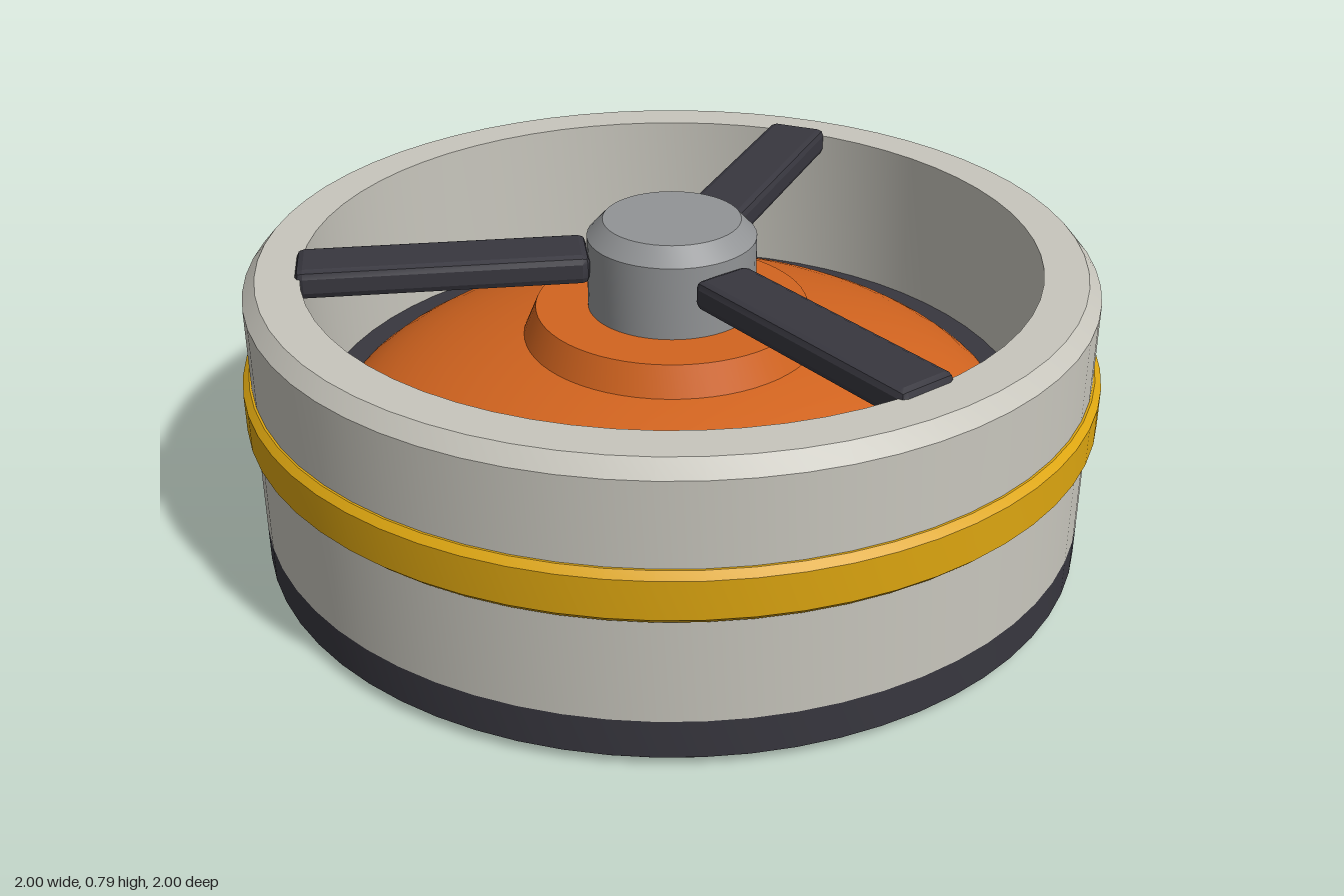
import * as THREE from 'three';
import { toCreasedNormals } from 'three/addons/utils/BufferGeometryUtils.js';
import { RoundedBoxGeometry } from 'three/addons/geometries/RoundedBoxGeometry.js';

const material = (name, color) => {
  const m = new THREE.MeshStandardMaterial({ color });
  m.name = name;
  return m;
};

export function createModel() {
  const group = new THREE.Group();
  const shell = material('warm grey', 0xc8c6bd);
  const dark = material('charcoal', 0x38373f);
  const gold = material('gold', 0xdca510);
  const orange = material('orange', 0xd2641f);
  const metal = material('steel grey', 0x929496);

  const add = (name, geometry, mat) => {
    const mesh = new THREE.Mesh(geometry, mat);
    mesh.name = name;
    group.add(mesh);
    return mesh;
  };
  // Round part turned from [radius, height] points, with crisp profile corners
  const turned = (name, profile, mat, segments = 64) => {
    const points = profile.map(([r, y]) => new THREE.Vector2(r, y));
    return add(name, toCreasedNormals(new THREE.LatheGeometry(points, segments), 0.35), mat);
  };

  // Housing: dark foot, hollow drum and raised band
  turned('base', [[0, 0], [0.95, 0], [0.98, 0.025], [0.98, 0.115], [0, 0.115]], dark);
  turned('drumWall', [[0.98, 0.115], [0.98, 0.675], [0.95, 0.71], [0.85, 0.71], [0.85, 0.3]], shell);
  turned('band', [[0.97, 0.36], [0.985, 0.36], [1, 0.375], [1, 0.465], [0.985, 0.48], [0.97, 0.48]], gold);
  turned('innerFloor', [[0.86, 0.325], [0.7, 0.325]], dark);

  // Shallow dome with a stepped collar
  const dome = [];
  for (let i = 0; i <= 16; i++) {
    const a = (i / 16) * Math.PI / 2;
    dome.push([0.85 * Math.cos(a), 0.2 + 0.335 * Math.sin(a)]);
  }
  dome[16][0] = 0;
  turned('dome', dome.slice(2), orange);
  turned('collar', [[0.36, 0.48], [0.32, 0.575], [0, 0.575]], orange);

  // Central hub with a chamfered cap
  turned('hub', [[0.197, 0.56], [0.197, 0.75], [0.16, 0.79], [0, 0.79]], metal, 48);

  // Three chamfered spokes from the hub to the rim
  for (let i = 0; i < 3; i++) {
    const bar = new RoundedBoxGeometry(0.15, 0.07, 0.665, 1, 0.018);
    bar.translate(-0.014, 0.693, 0.527);
    add('spoke' + (i + 1), toCreasedNormals(bar, 0.3), dark).rotation.y = i * Math.PI * 2 / 3;
  }
  return group;
}
